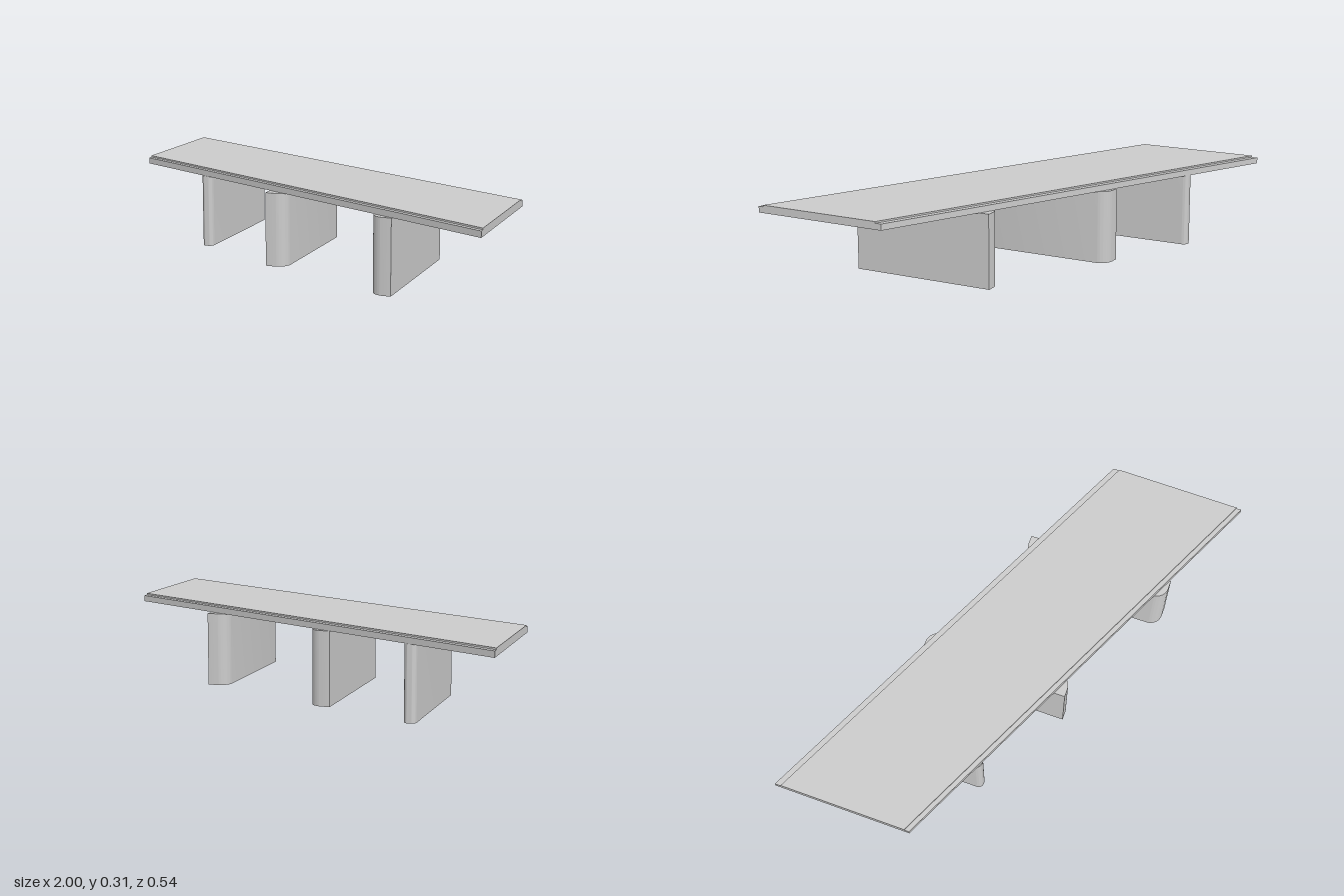
import * as THREE from 'three';
import { toCreasedNormals } from 'three/addons/utils/BufferGeometryUtils.js';

const SKEW = 0.436; // angle of the piers and deck ends

// Extrude a plan shape (drawn with y = -z) upwards from y0 to y1
function prism(name, shape, y0, y1, material) {
  const flat = new THREE.ExtrudeGeometry(shape, { depth: y1 - y0, bevelEnabled: false, curveSegments: 12 });
  flat.rotateX(-Math.PI / 2);
  flat.translate(0, y0, 0);
  const mesh = new THREE.Mesh(toCreasedNormals(flat, 0.5), material);
  mesh.name = name;
  return mesh;
}

// Skewed slab plan, cut between two z limits with the ends on the same lines
function slabShape(zBack, zFront) {
  const right = z => 0.89 + 0.46 * z;
  const left = z => -0.892 + 0.46 * z;
  return new THREE.Shape([
    new THREE.Vector2(left(zFront), -zFront),
    new THREE.Vector2(right(zFront), -zFront),
    new THREE.Vector2(right(zBack), -zBack),
    new THREE.Vector2(left(zBack), -zBack),
  ]);
}

// Wall pier plan with separate corner radii on its -x and +x faces
function pierShape(width, length, rLeft, rRight) {
  const w = width / 2, l = length / 2, q = Math.PI / 2;
  const s = new THREE.Shape();
  const corner = (sx, sy, r, a) => {
    if (r > 0) s.absarc(sx * (w - r), sy * (l - r), r, a, a + q, false);
    else s.lineTo(sx * w, sy * l);
  };
  s.moveTo(0, -l);
  corner(1, -1, rRight, -q);
  corner(1, 1, rRight, 0);
  corner(-1, 1, rLeft, q);
  corner(-1, -1, rLeft, 2 * q);
  s.closePath();
  return s;
}

export function createModel() {
  const model = new THREE.Group();
  model.name = 'skewBridge';
  const grey = new THREE.MeshStandardMaterial({ color: 0xcccccc });

  // Deck slab and the thin road surface on it
  model.add(prism('deckSlab', slabShape(-0.238, 0.234), 0.279, 0.302, grey));
  model.add(prism('roadSurface', slabShape(-0.217, 0.217), 0.302, 0.308, grey));

  // Three wall piers, parallel to the deck ends
  const piers = [
    { name: 'rightPier', x: -0.525, width: 0.045, length: 0.52, rLeft: 0.02, rRight: 0.02 },
    { name: 'middlePier', x: -0.104, width: 0.08, length: 0.563, rLeft: 0, rRight: 0.049 },
    { name: 'leftPier', x: 0.441, width: 0.08, length: 0.563, rLeft: 0.049, rRight: 0 },
  ];
  for (const p of piers) {
    const pier = prism(p.name, pierShape(p.width, p.length, p.rLeft, p.rRight), 0, 0.279, grey);
    pier.rotation.y = SKEW;
    pier.position.x = p.x;
    model.add(pier);
  }
  return model;
}
